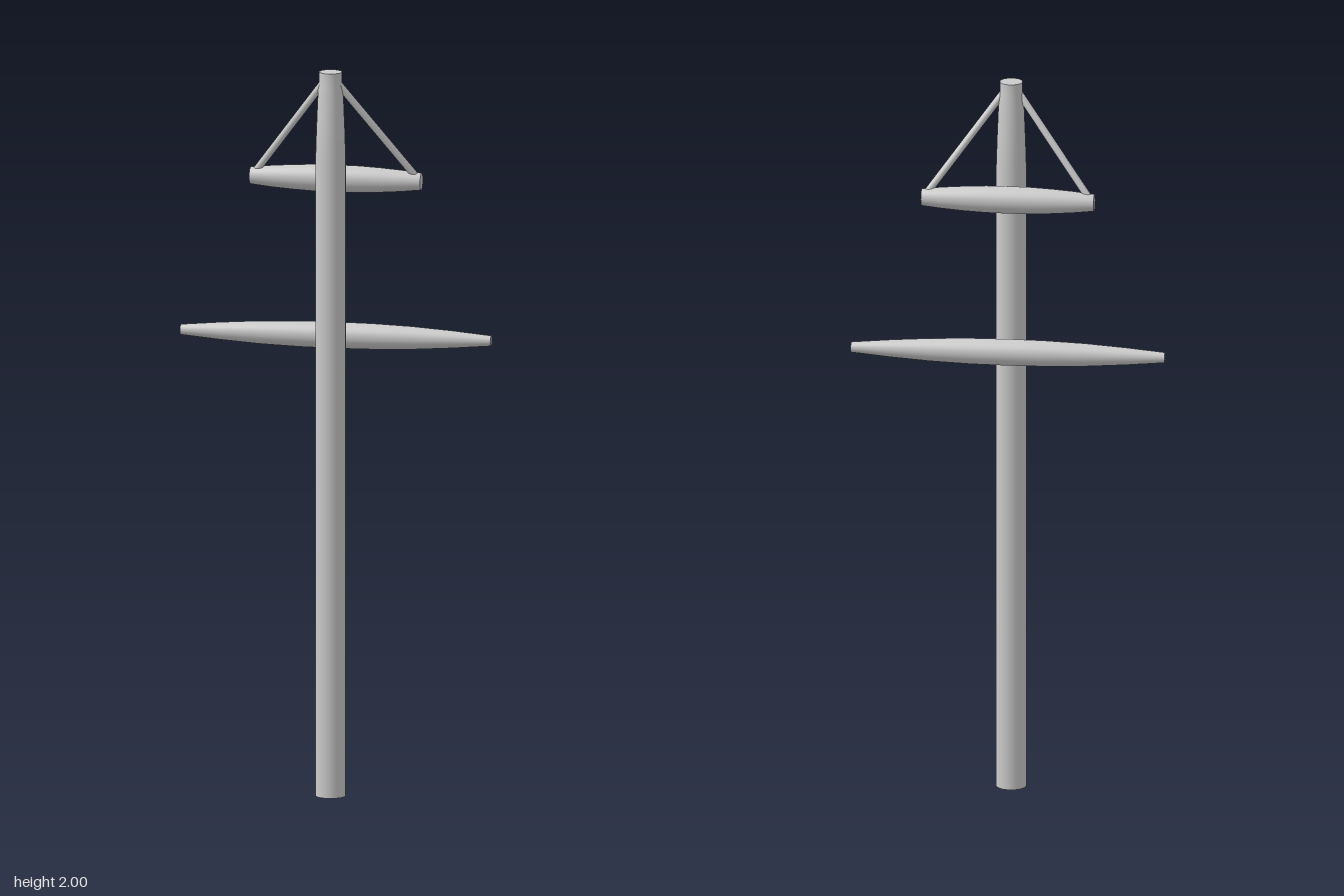
import * as THREE from 'three';

const material = new THREE.MeshStandardMaterial({ color: 0xcccccc });
const MAST_Z = 0.036, YARD_Z = -0.044;

// Closed round spar: smooth sides from [radius, height] pairs, with flat end discs
function spar(name, profile, segments = 32) {
  const group = new THREE.Group();
  group.name = name;
  const points = profile.map(([r, y]) => new THREE.Vector2(r, y));
  const side = new THREE.Mesh(new THREE.LatheGeometry(points, segments), material);
  side.name = name + 'Side';
  group.add(side);
  [[points[0], 1], [points[points.length - 1], -1]].forEach(([p, dir]) => {
    const cap = new THREE.Mesh(new THREE.CircleGeometry(p.x, segments), material);
    cap.name = name + 'End';
    cap.rotation.x = dir * Math.PI / 2;
    cap.position.y = p.y;
    group.add(cap);
  });
  return group;
}

// Horizontal yard, thick in the middle and tapering to both ends
function yard(name, half, y) {
  const right = half.slice(1).map(([x, r]) => [r, x]);
  const left = right.map(([r, x]) => [r, -x]).reverse();
  const group = spar(name, [...left, [half[0][1], 0], ...right]);
  group.rotation.z = -Math.PI / 2;
  group.position.set(0, y, YARD_Z);
  return group;
}

// Straight rope between two points
function rope(name, a, b, radius) {
  const dir = b.clone().sub(a);
  const mesh = new THREE.Mesh(new THREE.CylinderGeometry(radius, radius, dir.length(), 16), material);
  mesh.name = name;
  mesh.position.copy(a).add(b).multiplyScalar(0.5);
  mesh.quaternion.setFromUnitVectors(new THREE.Vector3(0, 1, 0), dir.normalize());
  return mesh;
}

export function createModel() {
  const model = new THREE.Group();
  model.name = 'mastWithYards';

  // Mast, narrowing near the head
  const mast = spar('mast', [
    [0.041, 0], [0.041, 1.76], [0.0385, 1.84], [0.034, 1.95], [0.031, 1.965], [0.031, 2],
  ]);
  mast.position.z = MAST_Z;
  model.add(mast);

  // Yards behind the mast
  model.add(yard('lowerYard', [[0, 0.036], [0.1, 0.035], [0.21, 0.031], [0.32, 0.0235], [0.427, 0.014]], 1.256));
  model.add(yard('upperYard', [[0, 0.037], [0.06, 0.0365], [0.12, 0.0335], [0.18, 0.029], [0.235, 0.023]], 1.689));

  // Lifts from the mast head to the upper yard ends
  for (const [name, s] of [['leftLift', 1], ['rightLift', -1]]) {
    model.add(rope(name,
      new THREE.Vector3(s * 0.222, 1.7, YARD_Z),
      new THREE.Vector3(s * 0.012, 1.98, 0.041), 0.01));
  }
  return model;
}
